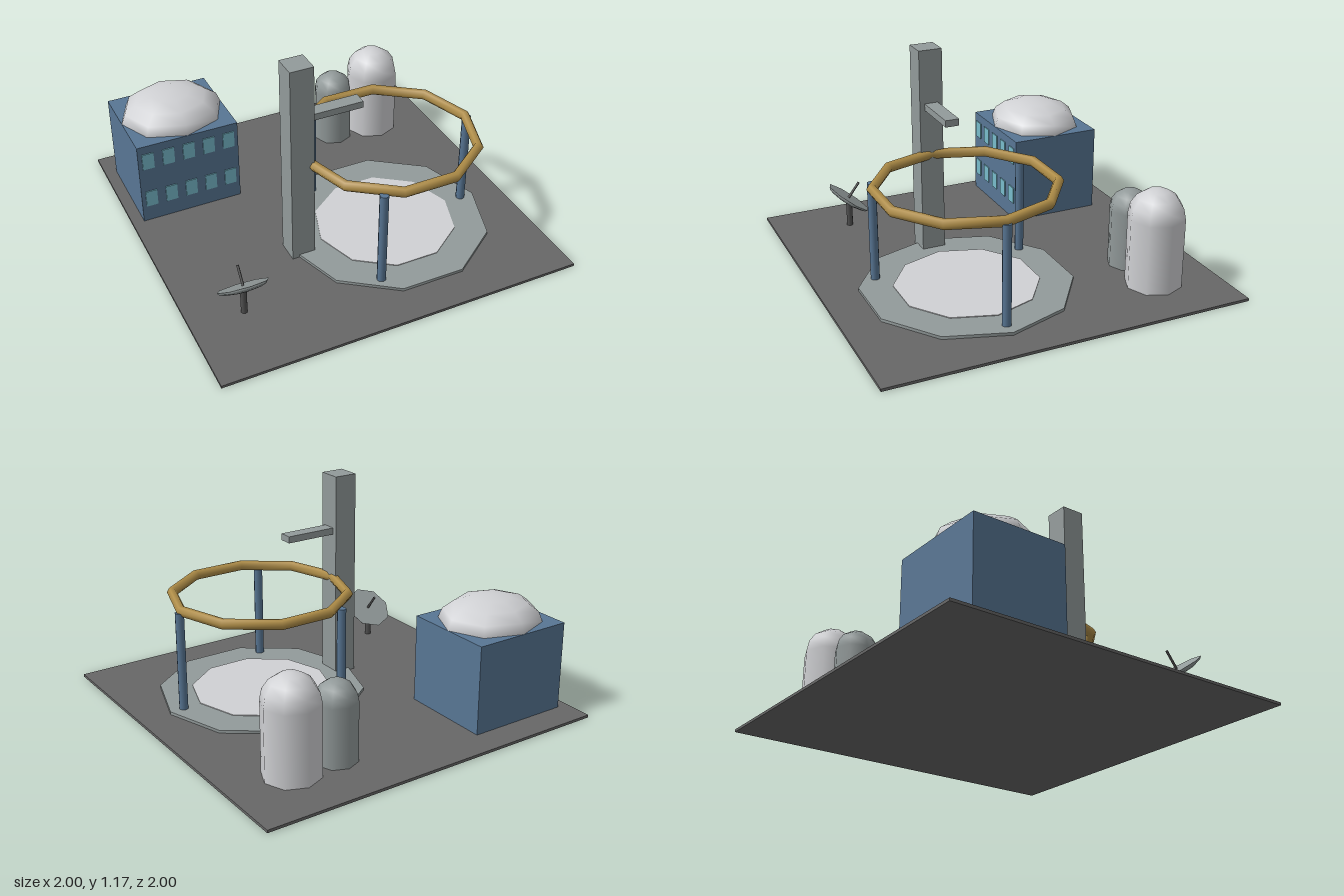
import * as THREE from 'three';

const material = (name, color, side = THREE.FrontSide) => {
  const m = new THREE.MeshStandardMaterial({ color, side });
  m.name = name;
  return m;
};

export function createModel() {
  const mats = {
    ground: material('ground grey', 0x676767),
    concrete: material('concrete grey', 0x929a9a),
    white: material('shell white', 0xd0d1d4),
    blue: material('steel blue', 0x587694),
    gold: material('ring gold', 0xb08e48),
    glass: material('window cyan', 0x78bccc),
    dark: material('dark metal', 0x525252),
  };
  const root = new THREE.Group();
  root.name = 'launchBase';

  const add = (name, geometry, mat, x, y, z, parent = root) => {
    const mesh = new THREE.Mesh(geometry, mat);
    mesh.name = name;
    mesh.position.set(x, y, z);
    parent.add(mesh);
    return mesh;
  };
  const group = (name, x, y, z) => {
    const g = new THREE.Group();
    g.name = name;
    g.position.set(x, y, z);
    root.add(g);
    return g;
  };
  const box = (w, h, d) => new THREE.BoxGeometry(w, h, d);
  const drum = (r, h, sides) => new THREE.CylinderGeometry(r, r, h, sides).rotateY(Math.PI / 2);
  const dome = (rx, ry, rz) =>
    new THREE.SphereGeometry(1, 8, 4, 0, Math.PI * 2, 0, Math.PI / 2).scale(rx, ry, rz);

  // Ground slab
  const floor = 0.015;
  add('ground', box(2, floor, 2), mats.ground, 0, floor / 2, 0);

  // Launch pad with its raised ring on three posts
  const pad = group('launchPad', 0.26, 0, 0.257);
  add('padBase', drum(0.567, 0.017, 10), mats.concrete, 0, 0.0225, 0, pad);
  add('padCentre', drum(0.388, 0.008, 10), mats.white, 0, 0.031, 0, pad);
  add('ring', new THREE.TorusGeometry(0.476, 0.028, 6, 10).rotateX(Math.PI / 2), mats.gold, 0, 0.585, 0, pad);
  for (let i = 0; i < 3; i++) {
    const a = (i * Math.PI * 2) / 3;
    add('ringPost', drum(0.025, 0.555, 8), mats.blue,
      Math.cos(a) * 0.487, 0.3, Math.sin(a) * 0.487, pad);
  }

  // Service tower and its arm
  add('tower', box(0.13, 1.16, 0.13), mats.concrete, -0.26, 0.595, 0.258);
  add('towerArm', box(0.29, 0.037, 0.075), mats.concrete, -0.053, 0.863, 0.258);

  // Domed building with two rows of windows on its front
  const building = group('building', -0.647, 0, -0.583);
  add('walls', box(0.576, 0.49, 0.516), mats.blue, 0, 0.26, 0, building);
  add('roofDome', dome(0.288, 0.14, 0.258), mats.white, 0, 0.505, 0, building);
  for (const y of [0.161, 0.408]) {
    for (let i = -2; i <= 2; i++) {
      add('window', box(0.065, 0.097, 0.008), mats.glass, i * 0.116, y, 0.26, building);
    }
  }

  // Storage silos
  const silo = (name, x, r, bodyTop, mat) => {
    const g = group(name, x, 0, -0.645);
    add('siloBody', drum(r, bodyTop - floor, 8), mat, 0, (bodyTop + floor) / 2, 0, g);
    add('siloDome', dome(r, r, r), mat, 0, bodyTop, 0, g);
  };
  silo('largeSilo', 0.643, 0.153, 0.4, mats.white);
  silo('smallSilo', 0.383, 0.112, 0.34, mats.concrete);

  // Dish on a stalk, tilted towards the back
  const dishSite = group('dishAntenna', -0.71, 0, 0.58);
  add('dishPost', drum(0.018, 0.15, 8), mats.dark, 0, 0.09, 0, dishSite);
  const dish = new THREE.Group();
  dish.name = 'dish';
  dish.position.y = 0.187;
  dish.rotation.x = -0.65;
  dishSite.add(dish);
  add('dishBowl', dome(0.139, 0.032, 0.139).rotateX(Math.PI), mats.concrete, 0, 0, 0, dish);
  add('dishFace', new THREE.CircleGeometry(0.139, 8).rotateX(-Math.PI / 2), mats.concrete, 0, 0, 0, dish);
  add('feedRod', drum(0.007, 0.105, 6), mats.dark, 0, 0.0525, 0, dish);

  return root;
}
